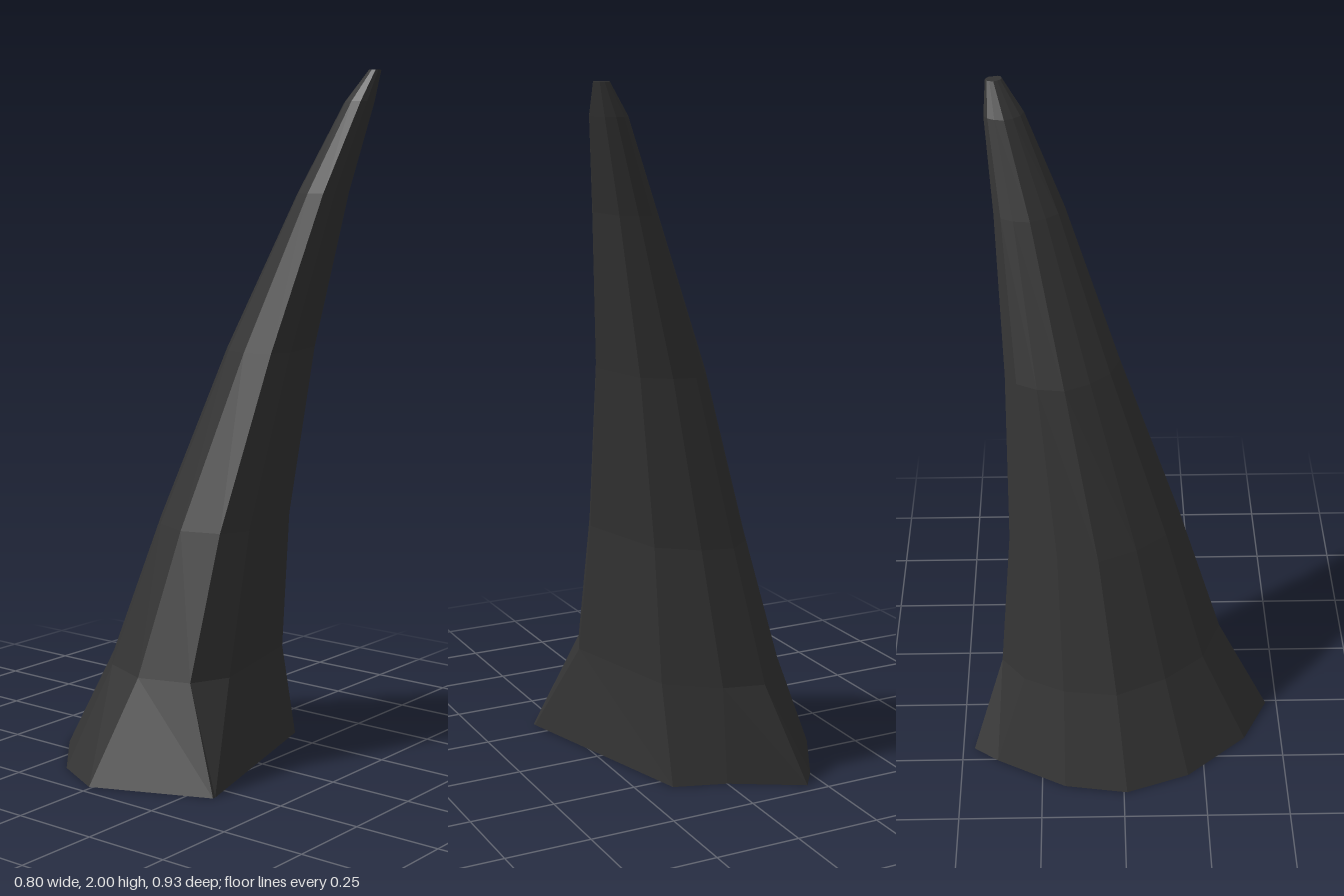
import * as THREE from 'three';

// Flared foot outline and the collar outline above it, as [x, z]
const FOOT = [
  [0.32, 0.32], [-0.01, 0.465], [-0.17, 0.385], [-0.33, 0.2], [-0.4, 0.01], [-0.37, -0.18],
  [-0.255, -0.39], [-0.2, -0.465], [0, -0.35], [0.15, -0.3], [0.32, 0.31],
];
const COLLAR = [
  [0.19, 0.26], [0.04, 0.31], [-0.11, 0.25], [-0.21, 0.13], [-0.28, -0.02], [-0.26, -0.18],
  [-0.2, -0.3], [-0.11, -0.37], [0.01, -0.34], [0.15, -0.23], [0.24, 0.145],
];

// Extents of each section above the collar: y, xMin, xMax, zMin, zMax
const SECTIONS = [
  [0.7, -0.15, 0.24, -0.337, 0.18],
  [1.2, 0.01, 0.28, -0.337, 0],
  [1.65, 0.19, 0.342, -0.357, -0.155],
  [1.91, 0.3, 0.39, -0.378, -0.265],
  [2, 0.36, 0.398, -0.372, -0.325],
];

// Fit the collar outline into the extents of a section
function fitSection([y, x0, x1, z0, z1]) {
  return COLLAR.map(([x, z]) => new THREE.Vector3(
    THREE.MathUtils.mapLinear(x, -0.28, 0.24, x0, x1), y,
    THREE.MathUtils.mapLinear(z, -0.37, 0.31, z0, z1)));
}

function center(ring) {
  return ring.reduce((sum, p) => sum.add(p), new THREE.Vector3()).divideScalar(ring.length);
}

// Skin the cross-sections with quads and close both ends
function loft(rings) {
  const points = [];
  const bottom = rings[0], top = rings[rings.length - 1];
  const bottomCenter = center(bottom), topCenter = center(top);
  const n = bottom.length;
  for (let i = 0; i < n; i++) {
    const j = (i + 1) % n;
    for (let k = 0; k < rings.length - 1; k++) {
      const lower = rings[k], upper = rings[k + 1];
      points.push(lower[i], upper[i], upper[j], lower[i], upper[j], lower[j]);
    }
    points.push(bottomCenter, bottom[i], bottom[j], topCenter, top[j], top[i]);
  }
  const geometry = new THREE.BufferGeometry().setFromPoints(points);
  geometry.computeVertexNormals();
  return geometry;
}

export function createModel() {
  const group = new THREE.Group();
  group.name = 'curvedHorn';
  const rings = [
    FOOT.map(([x, z]) => new THREE.Vector3(x, 0, z)),
    COLLAR.map(([x, z]) => new THREE.Vector3(x, 0.29, z)),
    ...SECTIONS.map(fitSection),
  ];
  const horn = new THREE.Mesh(loft(rings),
    new THREE.MeshStandardMaterial({ color: 0x333333, flatShading: true }));
  horn.name = 'horn';
  group.add(horn);
  return group;
}
